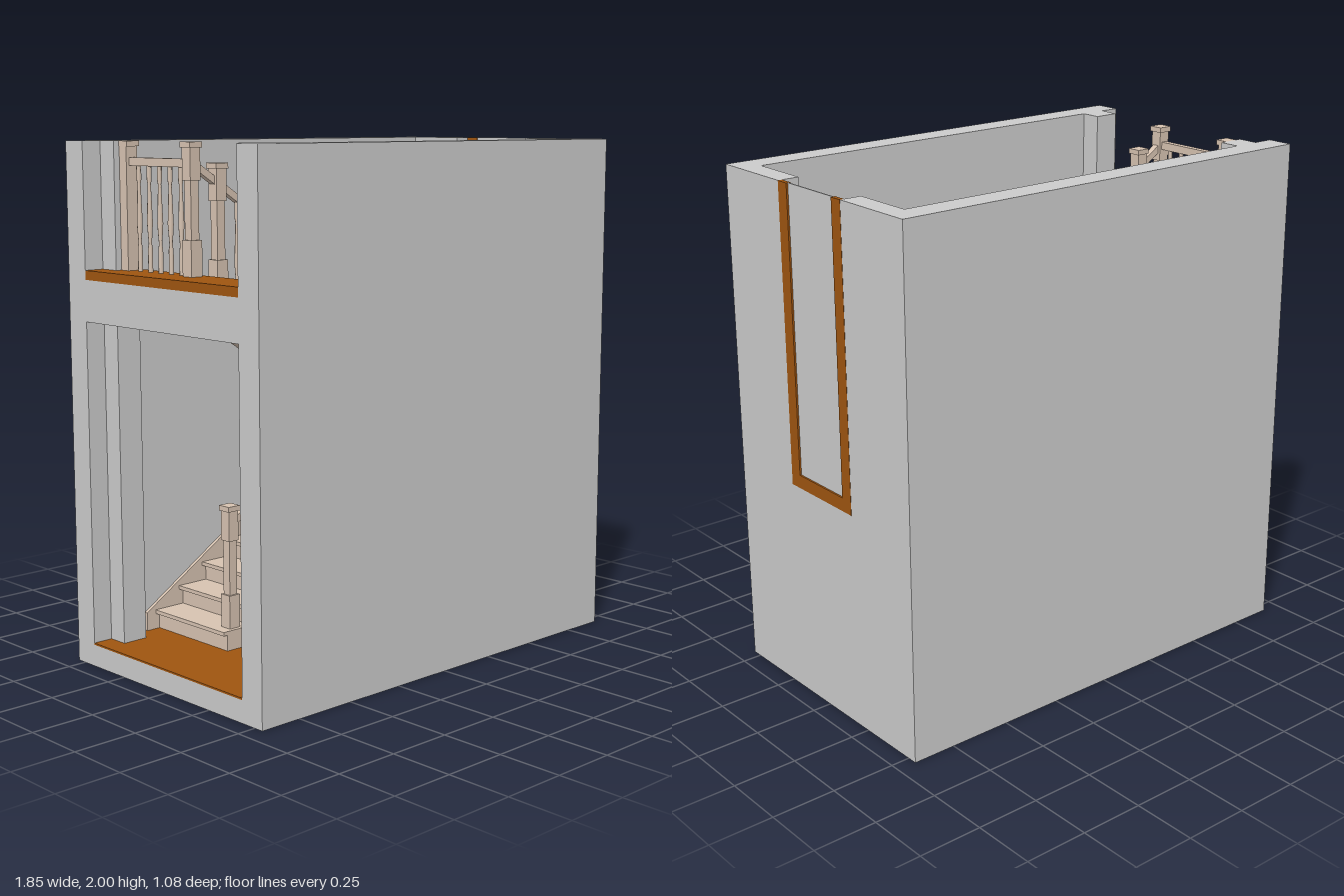
import * as THREE from 'three';

const GREY = new THREE.MeshStandardMaterial({ color: 0xcccccc, side: THREE.DoubleSide });
const WOOD = new THREE.MeshStandardMaterial({ color: 0x9f5510 });
const TAN = new THREE.MeshStandardMaterial({ color: 0xd7c3b1 });

// shell limits
const X = 0.925, Z = 0.54, ZI = 0.435, XI = 0.84, H = 2;
// stair measurements
const T = 0.119, FLOOR = 0.092, TOP = 1.525, R = (TOP - FLOOR) / 19;
const TURN = 0.33, LANDING = FLOOR + 9 * R, MID = -0.003, NOSE = 0.018;
const START = TURN - 8 * T, EDGE = TURN - 9 * T;
const RAIL1 = -0.045, RAIL2 = 0.035, GUARD = -0.795, RAIL_H = 0.4;

export function createModel() {
  const model = new THREE.Group();

  const add = (name, geo, mat, parent = model) => {
    const m = new THREE.Mesh(geo, mat);
    m.name = name;
    parent.add(m);
    return m;
  };
  // box given by its limits on each axis
  const box = (name, mat, x0, x1, y0, y1, z0, z1, parent) => {
    const m = add(name, new THREE.BoxGeometry(x1 - x0, y1 - y0, z1 - z0), mat, parent);
    m.position.set((x0 + x1) / 2, (y0 + y1) / 2, (z0 + z1) / 2);
    return m;
  };
  // side profile extruded from z0 to z1
  const profile = (name, mat, pts, z0, z1, parent) => {
    const shape = new THREE.Shape(pts.map(p => new THREE.Vector2(...p)));
    const geo = new THREE.ExtrudeGeometry(shape, { depth: z1 - z0, bevelEnabled: false });
    return add(name, geo.translate(0, 0, z0), mat, parent);
  };

  // building shell
  box('base', GREY, -X, X, 0, 0.085, -Z, Z);
  box('lowerFloor', WOOD, -X, XI, 0.085, FLOOR, -ZI, ZI);
  box('frontWall', GREY, -X, X, 0.085, H, ZI, Z);
  box('backWall', GREY, -X, X, 0.085, H, -Z, -ZI);
  box('endWallLower', GREY, XI, X, 0.085, 0.85, -ZI, ZI);
  for (const s of [-1, 1]) {
    box('endWallUpper', GREY, XI, X, 0.85, H, s > 0 ? 0.19 : -ZI, s > 0 ? ZI : -0.19);
    box('pilaster', GREY, -0.845, EDGE, FLOOR, H, s > 0 ? 0.352 : -ZI, s > 0 ? ZI : -0.352);
  }

  // upper floor
  box('upperBeam', GREY, -X, EDGE, 1.333, 1.49, -ZI, ZI);
  box('upperFloor', WOOD, -X, EDGE, 1.49, TOP, -ZI, ZI);

  // tall window
  const win = new THREE.Group();
  win.name = 'window';
  model.add(win);
  box('windowSill', WOOD, 0.908, X + 0.001, 0.85, 0.902, -0.19, 0.19, win);
  box('windowPost', WOOD, 0.908, X + 0.001, 0.902, H, 0.137, 0.19, win);
  box('windowPost', WOOD, 0.908, X + 0.001, 0.902, H, -0.19, -0.137, win);
  box('glass', GREY, 0.914, 0.919, 0.902, H, -0.137, 0.137, win);

  // flight of steps with raked underside, nosed treads and a wall skirting
  const flight = (name, x0, dir, y0, n, z0, z1, wallZ, fromFloor) => {
    const g = new THREE.Group();
    g.name = name;
    model.add(g);
    const drop = 0.09, xn = x0 + dir * n * T;
    const pts = [[x0, y0]];
    for (let i = 0; i < n; i++) {
      const y = y0 + (i + 1) * R, xa = x0 + dir * i * T, xb = xa + dir * T;
      pts.push([xa, y], [xb, y]);
      const nose = xa - dir * NOSE;
      box('tread', TAN, Math.min(nose, xb), Math.max(nose, xb), y - 0.014, y + 0.001, z0, z1, g);
    }
    pts.push([xn, y0 + n * R - drop]);
    pts.push(fromFloor ? [x0 + dir * drop * T / R, y0] : [x0, y0 - drop]);
    profile('steps', TAN, pts, z0, z1, g);
    // raked skirting board against the wall
    const a = x0 - dir * 0.06, lift = 0.11;
    const at = x => y0 + (x - x0) * dir * R / T;
    profile('wallString', TAN, [[a, y0], [a, at(a) + lift], [xn, at(xn) + lift], [xn, at(xn) - drop],
      [x0, y0 - (fromFloor ? 0 : drop)]], wallZ - 0.007, wallZ + 0.007, g);
  };
  flight('lowerFlight', START, 1, FLOOR, 8, -ZI, MID, -0.427, true);
  flight('upperFlight', TURN, -1, LANDING, 9, MID, ZI, 0.427, false);

  // half landing with skirting
  box('landing', TAN, TURN, XI, LANDING - 0.1, LANDING, -ZI, ZI);
  box('landingNosing', TAN, TURN - NOSE, TURN, LANDING - 0.014, LANDING, -ZI, MID);
  box('landingSkirting', TAN, XI - 0.015, XI, LANDING, LANDING + 0.07, -ZI, ZI);
  for (const s of [-1, 1]) {
    box('landingSkirting', TAN, TURN, XI, LANDING, LANDING + 0.07, s * 0.427 - 0.007, s * 0.427 + 0.007);
  }
  box('landingMat', GREY, 0.705, 0.8, LANDING, LANDING + 0.002, -0.19, 0.19);

  // railing
  const rails = new THREE.Group();
  rails.name = 'railing';
  model.add(rails);

  const newel = (x, y, z) => {
    const g = new THREE.Group();
    g.name = 'newelPost';
    rails.add(g);
    const block = (n, r, a, b) => box(n, TAN, x - r, x + r, y + a, y + b, z - r, z + r, g);
    block('newelBase', 0.025, 0, 0.13);
    block('newelShaft', 0.018, 0.13, 0.34);
    block('newelHead', 0.023, 0.34, 0.455);
    block('newelCap', 0.028, 0.455, 0.475);
  };
  newel(START + 0.052, FLOOR + R, RAIL1);
  newel(START + 0.052 + T, FLOOR + 2 * R, RAIL1);
  newel(0.35, LANDING, RAIL1);
  newel(GUARD + T, TOP - R, RAIL2);
  newel(GUARD, TOP, RAIL2);
  box('wallNewel', TAN, GUARD - 0.025, GUARD + 0.025, TOP, TOP + 0.455, -0.355, -0.31, rails);
  box('wallNewelCap', TAN, GUARD - 0.028, GUARD + 0.028, TOP + 0.455, TOP + 0.475, -0.355, -0.302, rails);

  const balusterGeo = new THREE.LatheGeometry(
    [[0.009, 0], [0.009, 0.22], [0.006, 0.26], [0.011, 0.45], [0.006, 0.8], [0.009, 0.84], [0.009, 1]]
      .map(p => new THREE.Vector2(...p)), 8);
  const baluster = (x, y, z, h) => {
    const m = add('baluster', balusterGeo, TAN, rails);
    m.position.set(x, y, z);
    m.scale.y = h;
  };

  // sloping handrails, one baluster pair per tread
  const handrail = (xa, ya, xb, yb, z) =>
    profile('handrail', TAN, [[xa, ya - 0.015], [xb, yb - 0.015], [xb, yb + 0.015], [xa, ya + 0.015]],
      z - 0.013, z + 0.013, rails);
  const slope = R / T;
  const y1 = x => FLOOR + R + RAIL_H + (x - START - 0.052) * slope;
  const y2 = x => TOP + RAIL_H - (x - GUARD) * slope;
  handrail(START + 0.052, y1(START + 0.052), 0.35, y1(0.35), RAIL1);
  handrail(GUARD, y2(GUARD), 0.362, y2(0.362), RAIL2);
  box('railTurn', TAN, 0.337, 0.363, y1(0.35) - 0.015, y2(0.35) + 0.015, RAIL1, RAIL2 + 0.013, rails);
  for (let i = 0; i < 9; i++) {
    for (const f of [0.2, 0.7]) {
      const xa = START + (i + f) * T, ya = FLOOR + (i + 1) * R;
      if (i > 1 && i < 8) baluster(xa, ya, RAIL1, y1(xa) - ya);
      const xb = TURN - (i + f) * T, yb = LANDING + (i + 1) * R;
      if (i < 8) baluster(xb, yb, RAIL2, y2(xb) - yb);
    }
  }

  // guard rail across the stair opening on the upper floor
  const gy = TOP + RAIL_H;
  box('guardRail', TAN, GUARD - 0.013, GUARD + 0.013, gy - 0.015, gy + 0.015, -0.33, RAIL2, rails);
  for (let i = 1; i < 6; i++) baluster(GUARD, TOP, -0.33 + i * 0.061, RAIL_H);

  return model;
}
